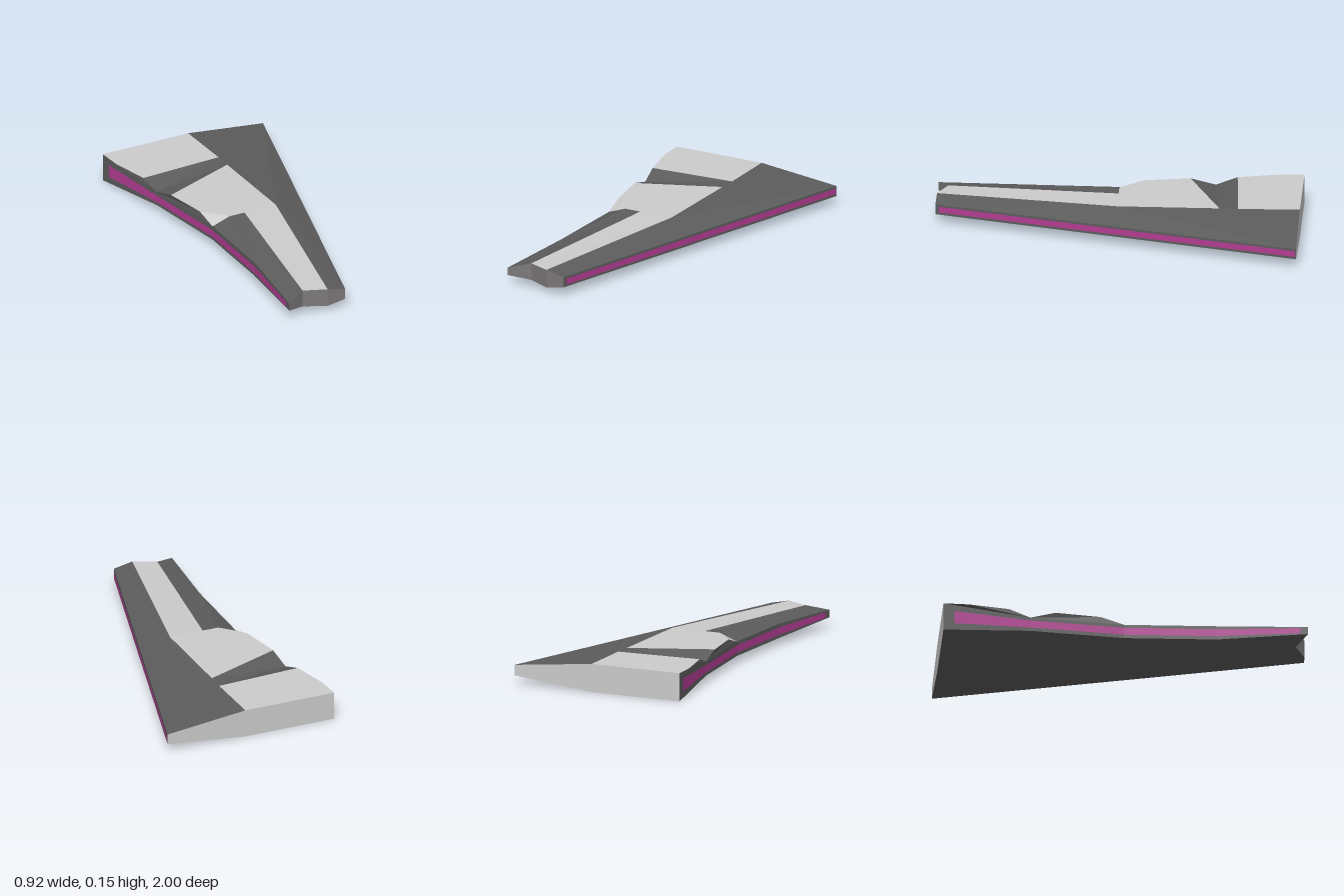
import * as THREE from 'three';

const DARK = 0x5c5c5c, LIGHT = 0xcccccc, NOSE = 0x7d797b, PINK = 0xb23c92;

// A faceted panel made of triangle fans; every facet is turned to face `dir`.
function panel(name, color, dir, fans, doubleSided = false) {
  const pos = [];
  const out = new THREE.Vector3(...dir);
  for (const fan of fans) {
    const [a, ...rim] = fan.map(p => new THREE.Vector3(...p));
    for (let i = 0; i < rim.length - 1; i++) {
      let b = rim[i], c = rim[i + 1];
      const n = b.clone().sub(a).cross(c.clone().sub(a));
      if (n.dot(out) < 0) [b, c] = [c, b];
      for (const v of [a, b, c]) pos.push(v.x, v.y, v.z);
    }
  }
  const geo = new THREE.BufferGeometry();
  geo.setAttribute('position', new THREE.Float32BufferAttribute(pos, 3));
  geo.computeVertexNormals();
  const mat = new THREE.MeshStandardMaterial({ color, flatShading: true });
  if (doubleSided) mat.side = THREE.DoubleSide;
  const mesh = new THREE.Mesh(geo, mat);
  mesh.name = name;
  return mesh;
}

// Quads joining two polylines of equal length
const strip = (top, low) => top.slice(1).map((p, i) => [top[i], p, low[i + 1], low[i]]);

export function createModel() {
  const g = new THREE.Group();
  g.name = 'wing';
  const T = 0.148; // full thickness
  const up = [0, 1, 0], leftward = [-1, 0, 0.3];

  // Upper corners
  const backOuter = [-0.46, T, -0.83], backMid = [0.03, T, -0.92], backTip = [0.46, 0.1, -1];
  const edgeA = [-0.43, T, -0.7], edgeB = [-0.35, T, -0.505];
  const notch = [-0.312, 0.112, -0.4], edgeC = [-0.278, T, -0.275], edgeD = [-0.198, T, -0.05];
  const grooveBack = [0.09, T, -0.61], grooveFront = [0.105, T, -0.515];
  const ridge = [0.195, T, 0];
  const stepOuter = [-0.168, 0.112, 0.065], stepMid = [-0.07, T, 0.05], stepInner = [0.015, T, 0.035];
  const flank = [-0.095, 0.112, 0.53], prong = [-0.066, 0.095, 1];
  const noseA = [0.03, 0.12, 0.925], noseB = [0.155, 0.122, 0.955], noseC = [0.255, 0.1, 0.94];

  // Lower corners
  const at = (p, y) => [p[0], y, p[2]];
  const backOuter0 = at(backOuter, 0), backMid0 = at(backMid, 0), backTip0 = at(backTip, 0.045);
  const notch0 = at(notch, 0.037), stepOuter0 = at(stepOuter, 0.037), flank0 = at(flank, 0.037);
  const prong0 = at(prong, 0.055), noseA0 = at(noseA, 0.03), noseB0 = at(noseB, 0.027);
  const noseC0 = at(noseC, 0.045), ridge0 = at(ridge, 0), edgeMid0 = [0.355, 0.045, 0];

  // Top panels
  g.add(panel('rearTopPanel', LIGHT, up, [[backMid, backOuter, edgeA, edgeB, grooveBack]]));
  g.add(panel('mainTopPanel', LIGHT, up, [
    [ridge, noseB, noseA, stepInner, stepMid, edgeD, edgeC, grooveFront],
    [edgeD, stepMid, stepOuter]]));
  g.add(panel('groove', DARK, up, [[notch, edgeB, grooveBack, grooveFront, edgeC]]));
  g.add(panel('recessedTopPanel', DARK, up, [[flank, stepOuter, stepMid, stepInner, noseA, prong]]));
  g.add(panel('slopedTopPanel', DARK, up, [
    [backTip, backMid, grooveBack, grooveFront, ridge],
    [ridge, noseB, noseC, backTip]]));

  // Underside, folded around one low point
  g.add(panel('underside', DARK, [0, -1, 0], [
    [ridge0, noseA0, noseB0, noseC0, edgeMid0, backMid0, backOuter0, notch0, stepOuter0, flank0, prong0, noseA0],
    [backMid0, edgeMid0, backTip0]]));

  // Side walls
  g.add(panel('rightWall', DARK, leftward, strip(
    [backOuter, notch, stepOuter, flank, prong],
    [backOuter0, notch0, stepOuter0, flank0, prong0])));
  g.add(panel('rightWallRim', DARK, leftward, [
    [notch, backOuter, edgeA, edgeB], [notch, edgeC, edgeD, stepOuter]], true));
  g.add(panel('leftWall', DARK, [1, 0, 0], [[edgeMid0, noseC0, noseC, backTip, backTip0]]));

  // End caps
  g.add(panel('backWall', LIGHT, [0, 0, -1], strip(
    [backOuter, backMid, backTip], [backOuter0, backMid0, backTip0])));
  g.add(panel('frontWall', NOSE, [0, 0, 1], strip(
    [prong, noseA, noseB, noseC], [prong0, noseA0, noseB0, noseC0])));

  // Coloured strips lying just proud of the walls
  const o = 0.003;
  const line = (pts, sx) => pts.map(([x, y, z]) => [x + sx * o, y, z]);
  g.add(panel('rightStrip', PINK, leftward, strip(
    line([[-0.441, 0.108, -0.775], [-0.312, 0.094, -0.4], [-0.168, 0.094, 0.065], [-0.095, 0.094, 0.53], [-0.068, 0.089, 0.96]], -1),
    line([[-0.441, 0.04, -0.775], [-0.312, 0.055, -0.4], [-0.168, 0.055, 0.065], [-0.095, 0.055, 0.53], [-0.068, 0.06, 0.96]], -1))));
  g.add(panel('leftStrip', PINK, [1, 0, 0], strip(
    line([[0.257, 0.089, 0.92], [0.355, 0.089, 0], [0.459, 0.089, -0.995]], 1),
    line([[0.257, 0.058, 0.92], [0.355, 0.058, 0], [0.459, 0.058, -0.995]], 1))));
  return g;
}
